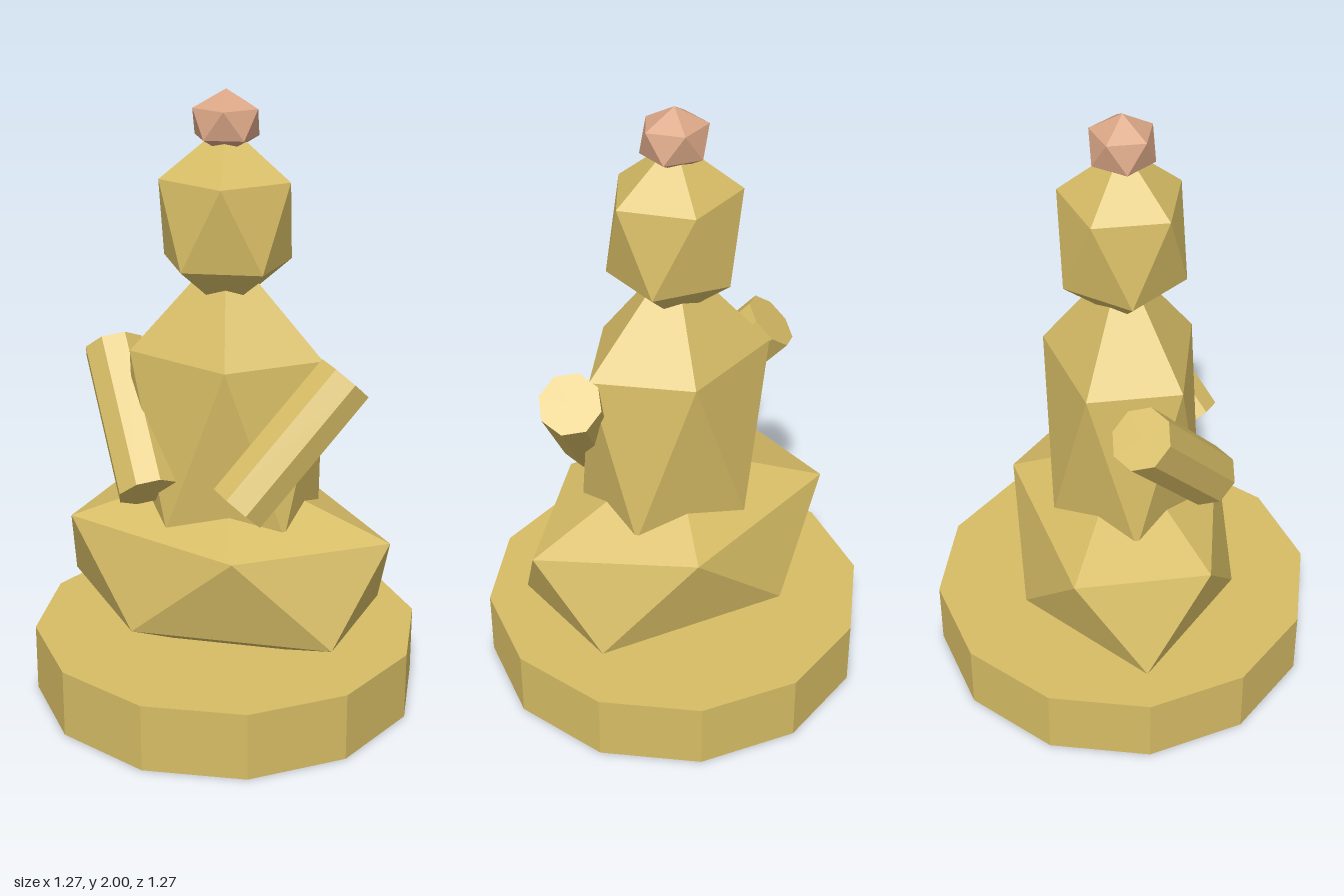
import * as THREE from 'three';

const gold = new THREE.MeshStandardMaterial({ color: 0xd6bc65, flatShading: true });
gold.name = 'gold';
const peach = new THREE.MeshStandardMaterial({ color: 0xdaa686, flatShading: true });
peach.name = 'peach';

export function createModel() {
  const group = new THREE.Group();
  group.name = 'seatedStatue';

  function add(name, geometry, material, x, y, z) {
    const mesh = new THREE.Mesh(geometry, material);
    mesh.name = name;
    mesh.position.set(x, y, z);
    group.add(mesh);
    return mesh;
  }

  // Icosahedron standing on a vertex, stretched to the given radii
  function gem(name, material, y, rx, ry, rz) {
    const geometry = new THREE.IcosahedronGeometry(1, 0);
    geometry.rotateZ(-Math.atan(2 / (1 + Math.sqrt(5))));
    geometry.scale(rx, ry, rz);
    add(name, geometry, material, 0, y, 0);
  }

  // Round plinth
  add('base', new THREE.CylinderGeometry(0.637, 0.637, 0.225, 12), gold, 0, 0.1125, 0);

  // Body, stacked from the folded legs upwards
  gem('foldedLegs', gold, 0.455, 0.635, 0.337, 0.412);
  gem('torso', gold, 0.905, 0.369, 0.615, 0.282);
  gem('head', gold, 1.598, 0.24, 0.298, 0.222);
  gem('topknot', peach, 1.9, 0.118, 0.1, 0.111);

  // Arms slope inwards and forwards to the lap
  for (const side of [1, -1]) {
    const arm = add(side > 0 ? 'leftArm' : 'rightArm',
      new THREE.CylinderGeometry(0.1, 0.1, 0.52, 8), gold, side * 0.278, 0.945, 0.128);
    arm.rotation.set(-0.6, 0, -side * 0.5);
  }

  return group;
}
